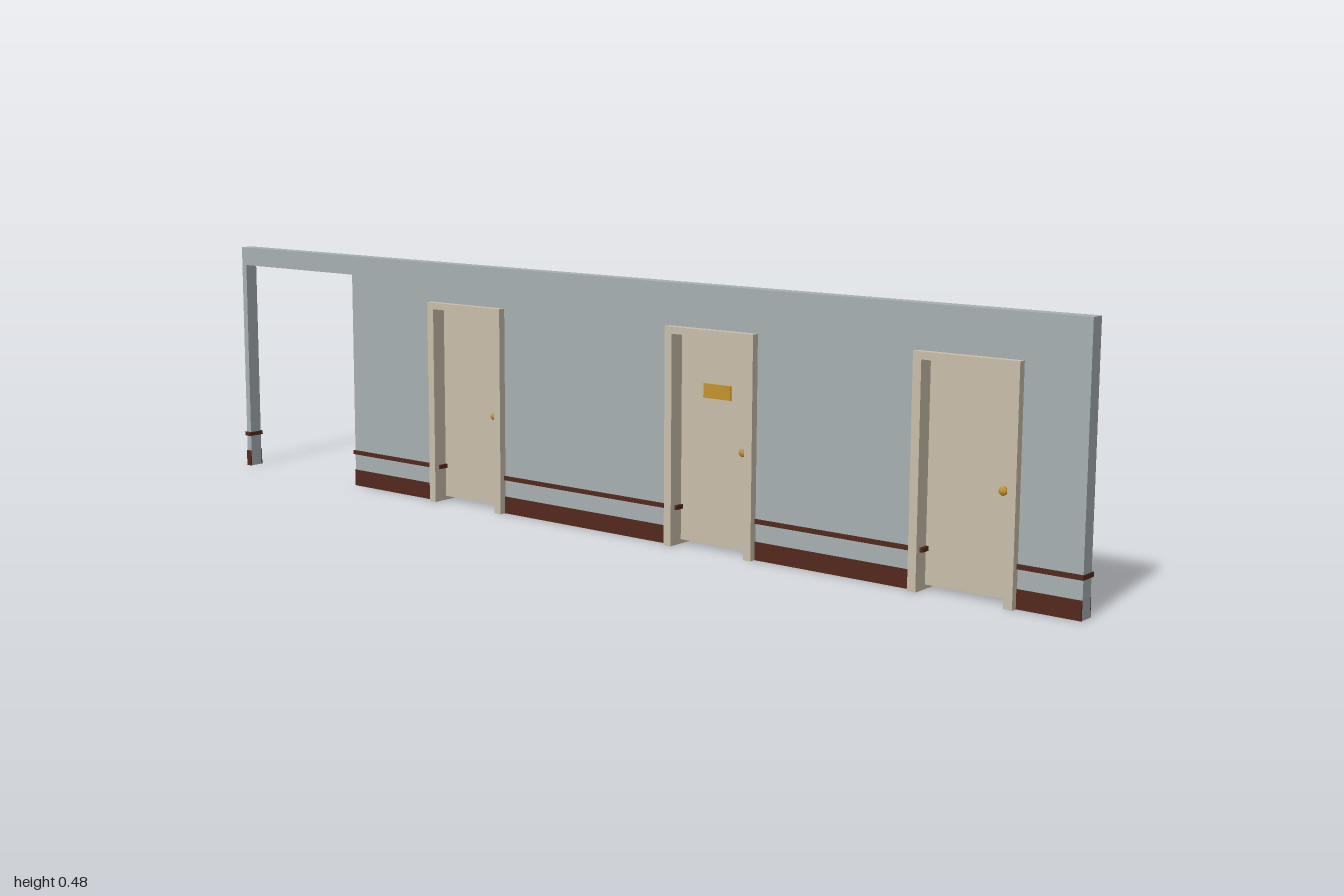
import * as THREE from 'three';

const mat = (name, color) => {
  const m = new THREE.MeshStandardMaterial({ color });
  m.name = name;
  return m;
};

export function createModel() {
  const group = new THREE.Group();
  const wallGrey = mat('wall grey', 0xa8b1b4);
  const beige = mat('door beige', 0xcbc0ac);
  const brown = mat('trim brown', 0x54291d);
  const brass = mat('brass', 0xc6942f);

  // Box given by its minimum and maximum on each axis
  const box = (name, material, x0, x1, y0, y1, z0, z1, parent = group) => {
    const m = new THREE.Mesh(new THREE.BoxGeometry(x1 - x0, y1 - y0, z1 - z0), material);
    m.position.set((x0 + x1) / 2, (y0 + y1) / 2, (z0 + z1) / 2);
    m.name = name;
    parent.add(m);
    return m;
  };

  const doors = [-0.324, 0.274, 0.787];  // door centres along x
  const half = 0.097, jamb = 0.016;      // frame half width, jamb width
  const top = 0.401, headBottom = 0.388;
  const wallZ = 0.0137, frameZ = 0.028;
  const left = -0.998, right = 0.998, postX = -0.985, openX = -0.652;

  // Wall outline, notched from below by the open passage and the doorways
  const outline = [[left, 0], [postX, 0], [postX, 0.44], [openX, 0.44], [openX, 0]];
  for (const x of doors) {
    const h = half - 0.008;
    outline.push([x - h, 0], [x - h, 0.394], [x + h, 0.394], [x + h, 0]);
  }
  outline.push([right, 0], [right, 0.478], [left, 0.478]);
  const wallGeo = new THREE.ExtrudeGeometry(
    new THREE.Shape(outline.map(([x, y]) => new THREE.Vector2(x, y))),
    { depth: wallZ * 2, bevelEnabled: false });
  wallGeo.translate(0, 0, -wallZ);
  const wall = new THREE.Mesh(wallGeo, wallGrey);
  wall.name = 'wall';
  group.add(wall);

  // Skirting plates on both faces and a rail through each stretch of wall
  const edges = [left, postX, openX];
  for (const x of doors) edges.push(x - half + 0.008, x + half - 0.008);
  edges.push(right);
  for (let i = 0; i < edges.length; i += 2) {
    const a = edges[i], b = edges[i + 1];
    for (const s of [1, -1]) {
      const z0 = s > 0 ? wallZ : -0.0157, z1 = s > 0 ? 0.0157 : -wallZ;
      box('skirting', brown, a, b, 0, 0.033, z0, z1);
    }
    const over = (x) => (doors.some((d) => Math.abs(x - d) < half) ? 0.013 : 0.002);
    box('rail', brown, a - over(a), b + over(b), 0.066, 0.074, -0.0175, 0.0175);
  }

  // Knob profile: rose, neck and rounded grip
  const knobGeo = new THREE.LatheGeometry(
    [[0, 0], [0.006, 0], [0.006, 0.002], [0.003, 0.003], [0.003, 0.007],
      [0.007, 0.009], [0.0075, 0.012], [0.006, 0.015], [0, 0.016]]
      .map(([x, y]) => new THREE.Vector2(x, y)), 14);
  knobGeo.rotateX(Math.PI / 2);

  const slabFront = -0.002, slabBack = -0.014;
  doors.forEach((x, i) => {
    const door = new THREE.Group();
    door.name = 'door';
    door.position.x = x;
    group.add(door);
    // Frame
    for (const s of [-1, 1]) {
      const a = s * half, b = s * (half - jamb);
      box('doorJamb', beige, Math.min(a, b), Math.max(a, b), 0, top, -frameZ, frameZ, door);
    }
    box('doorHead', beige, -half + jamb, half - jamb, headBottom, top, -frameZ, frameZ, door);
    // Leaf, recessed in the frame
    box('doorLeaf', beige, -half + jamb, half - jamb, 0.008, headBottom, slabBack, slabFront, door);
    // Knobs on both sides
    for (const s of [1, -1]) {
      const knob = new THREE.Mesh(knobGeo, brass);
      knob.name = 'doorKnob';
      knob.position.set(0.064, 0.187, s > 0 ? slabFront : slabBack);
      if (s < 0) knob.rotation.y = Math.PI;
      door.add(knob);
    }
    // Blank plate on the middle door
    if (i === 1) box('doorPlate', brass, -0.03, 0.03, 0.275, 0.301, slabFront, slabFront + 0.003, door);
  });

  return group;
}
